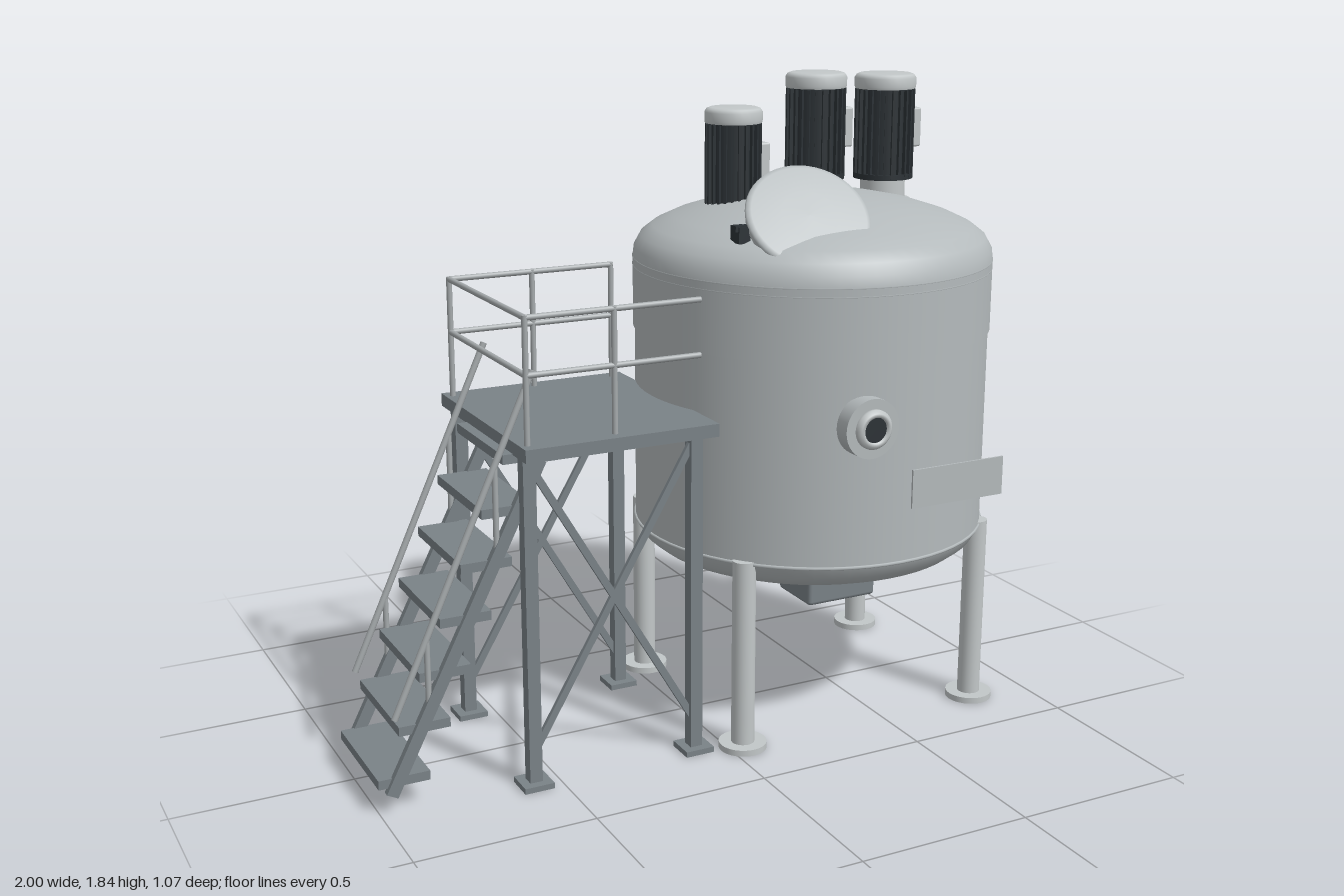
import * as THREE from 'three';
import { RoundedBoxGeometry } from 'three/addons/geometries/RoundedBoxGeometry.js';

const mat = (name, color) => Object.assign(new THREE.MeshStandardMaterial({ color }), { name });
const V = (x, y, z) => new THREE.Vector3(x, y, z);

export function createModel() {
  const steel = mat('brushed steel', 0xb4babc);
  const paleSteel = mat('pale steel', 0xc2c7c8);
  const frame = mat('painted frame grey', 0x7a8287);
  const rail = mat('rail grey', 0xa6abad);
  const dark = mat('dark motor grey', 0x2c3236);
  const root = new THREE.Group();

  const add = (name, geo, material, x = 0, y = 0, z = 0, parent = root) => {
    const m = new THREE.Mesh(geo, material);
    m.name = name;
    m.position.set(x, y, z);
    parent.add(m);
    return m;
  };
  const group = (name, x = 0, y = 0, z = 0) => {
    const g = new THREE.Group();
    g.name = name;
    g.position.set(x, y, z);
    root.add(g);
    return g;
  };
  const box = (w, h, d) => new THREE.BoxGeometry(w, h, d);
  const cyl = (r, h, n = 32, r2 = r) => new THREE.CylinderGeometry(r2, r, h, n);
  const lathe = (pts, n = 64) => new THREE.LatheGeometry(pts.map(p => new THREE.Vector2(...p)), n);
  // Bar between two points: round when d is omitted, otherwise w x d rectangular
  const bar = (name, a, b, material, w, d, parent = root) => {
    const len = a.distanceTo(b);
    const m = add(name, d ? box(w, len, d) : cyl(w, len, 10), material, 0, 0, 0, parent);
    m.position.copy(a).add(b).multiplyScalar(0.5);
    m.quaternion.setFromUnitVectors(V(0, 1, 0), b.clone().sub(a).normalize());
    return m;
  };

  // Tank shell, in sections so the seams stay crisp
  const TX = 0.43, TZ = -0.02;
  const tank = group('tank', TX, 0, TZ);
  add('tankBottom', lathe([[0, 0.41], [0.1, 0.413], [0.2, 0.422], [0.3, 0.437], [0.4, 0.463],
    [0.46, 0.487], [0.495, 0.515], [0.51, 0.548]]), steel, 0, 0, 0, tank);
  add('tankLowerShell', cyl(0.512, 0.58, 64), steel, 0, 0.84, 0, tank);
  add('tankUpperShell', cyl(0.517, 0.2, 64), steel, 0, 1.23, 0, tank);
  add('tankDome', lathe([[0.517, 1.33], [0.513, 1.36], [0.495, 1.393], [0.46, 1.42], [0.4, 1.448],
    [0.3, 1.48], [0.2, 1.5], [0.1, 1.51], [0, 1.513]]), steel, 0, 0, 0, tank);
  for (const y of [0.553, 1.307, 1.33]) {
    const seam = add('weldSeam', new THREE.TorusGeometry(0.513, 0.005, 6, 64), steel, 0, y, 0, tank);
    seam.rotation.x = Math.PI / 2;
  }

  // Tank legs with round feet
  for (const sx of [-1, 1]) for (const sz of [-1, 1]) {
    const leg = group('tankLeg', TX + sx * 0.388, 0, TZ + sz * 0.32);
    add('legTube', cyl(0.033, 0.56, 24), paleSteel, 0, 0.28, 0, leg);
    add('legFoot', cyl(0.068, 0.018, 32), paleSteel, 0, 0.009, 0, leg);
  }

  // Agitator motors on the dome
  const motor = (x, y, z, r) => {
    const g = group('motor', x, y, z);
    add('motorNeck', cyl(0.066, 0.11), paleSteel, 0, -0.055, 0, g);
    add('motorBaseRing', cyl(0.082, 0.012), paleSteel, 0, -0.066, 0, g);
    add('motorCore', cyl(r * 0.88, 0.265), dark, 0, 0.1325, 0, g);
    add('motorLowerRim', cyl(r, 0.016), dark, 0, 0.008, 0, g);
    for (let i = 0; i < 24; i++) {
      const a = (i / 24) * Math.PI * 2;
      const fin = add('coolingFin', box(0.02, 0.255, 0.007), dark, Math.cos(a) * (r - 0.01), 0.1325, -Math.sin(a) * (r - 0.01), g);
      fin.rotation.y = a;
    }
    add('motorCap', lathe([[0, 0.262], [r, 0.262], [r, 0.262], [r + 0.002, 0.27], [r + 0.002, 0.293],
      [r - 0.004, 0.302], [r - 0.014, 0.306], [0, 0.307]], 32), paleSteel, 0, 0, 0, g);
    add('junctionBox', new RoundedBoxGeometry(0.035, 0.115, 0.055, 2, 0.006), paleSteel, r + 0.008, 0.145, 0, g);
  };
  motor(0.225, 1.445, -0.12, 0.081);
  motor(0.495, 1.533, -0.12, 0.087);
  motor(0.722, 1.523, -0.105, 0.088);

  // Slanted manway with lid and clamp
  const manway = group('manway', 0.245, 1.49, 0.27);
  manway.quaternion.setFromUnitVectors(V(0, 1, 0), V(-0.14, 0.7, 0.7).normalize());
  add('manwayNeck', cyl(0.13, 0.09, 48), steel, 0, -0.045, 0, manway);
  add('manwayFlange', cyl(0.168, 0.014, 48), steel, 0, -0.022, 0, manway);
  add('manwayLid', lathe([[0, -0.01], [0.172, -0.01], [0.172, -0.01], [0.175, -0.004], [0.172, 0.004],
    [0.16, 0.008], [0.08, 0.012], [0, 0.013]], 48), steel, 0, 0, 0, manway);
  const clamp = group('manwayClamp', 0.07, 1.45, 0.21);
  add('clampBlock', box(0.035, 0.045, 0.05), dark, 0, 0, 0, clamp);
  add('clampLever', box(0.06, 0.016, 0.022), dark, 0.004, 0.018, 0.01, clamp);

  // Sight glass on the front wall
  const sight = group('sightGlass', 0.31, 0.955, 0.465);
  sight.rotation.x = Math.PI / 2;
  add('sightFlange', cyl(0.083, 0.05, 40), steel, 0, 0.025, 0, sight);
  add('sightRing', lathe([[0.034, 0.04], [0.055, 0.04], [0.055, 0.058], [0.046, 0.068], [0.036, 0.068],
    [0.034, 0.055]], 40), paleSteel, 0, 0, 0, sight);
  add('sightPane', cyl(0.035, 0.008, 32), dark, 0, 0.058, 0, sight);

  // Blank plate on the front
  add('frontPlate', box(0.3, 0.11, 0.006), steel, 0.605, 0.76, 0.495);

  // Side nozzle
  const nozzle = group('sideNozzle', 0.925, 1.045, -0.06);
  nozzle.rotation.z = -Math.PI / 2;
  add('nozzlePipe', cyl(0.022, 0.07, 24), steel, 0, 0.03, 0, nozzle);
  add('nozzleFlange', cyl(0.046, 0.02), steel, 0, 0.065, 0, nozzle);
  add('nozzleBore', cyl(0.02, 0.002, 24), rail, 0, 0.075, 0, nozzle);

  // Bottom outlet and drive box
  add('outletPipe', cyl(0.04, 0.05), steel, 0.445, 0.405, 0);
  add('outletFlange', cyl(0.066, 0.018), steel, 0.445, 0.381, 0);
  add('driveBox', new RoundedBoxGeometry(0.24, 0.235, 0.187, 2, 0.012), frame, 0.596, 0.33, -0.164);

  // Platform deck, posts and cross braces
  add('platformDeck', box(0.555, 0.036, 0.635), frame, -0.325, 0.948, 0);
  for (const z of [-0.253, 0.253]) {
    for (const x of [-0.575, -0.09]) {
      add('platformPost', box(0.036, 0.93, 0.036), frame, x, 0.465, z);
      add('postPlate', box(0.085, 0.016, 0.085), frame, x, 0.008, z);
    }
    bar('crossBrace', V(-0.565, 0.9, z), V(-0.1, 0.11, z), frame, 0.02, 0.012);
    bar('crossBrace', V(-0.565, 0.11, z), V(-0.1, 0.9, z), frame, 0.02, 0.012);
  }

  // Guard rails on three sides
  for (const y of [1.15, 1.3]) {
    for (const z of [-0.278, 0.278]) bar('guardRail', V(-0.582, y, z), V(-0.085, y, z), rail, 0.008);
    bar('guardRail', V(-0.582, y, -0.278), V(-0.582, y, 0.278), rail, 0.008);
  }
  for (const [x, z] of [[-0.582, -0.278], [-0.582, 0.278], [-0.335, -0.278], [-0.335, 0.278], [-0.09, -0.278]])
    bar('guardPost', V(x, 0.96, z), V(x, 1.306, z), rail, 0.008);

  // Stairs
  for (let i = 0; i < 7; i++)
    add('stairTread', box(0.142, 0.026, 0.34), frame, -0.929 + i * 0.0615, 0.083 + i * 0.1395, 0.057);
  for (const z of [-0.117, 0.23]) {
    bar('stairStringer', V(-0.967, 0.05, z), V(-0.53, 0.91, z), frame, 0.034, 0.02);
    bar('stairHandrail', V(-0.95, 0.26, z), V(-0.545, 1.15, z), rail, 0.009);
    bar('handrailPost', V(-0.855, 0.25, z), V(-0.855, 0.465, z), rail, 0.008);
    bar('handrailPost', V(-0.655, 0.66, z), V(-0.655, 0.91, z), rail, 0.008);
  }
  return root;
}
